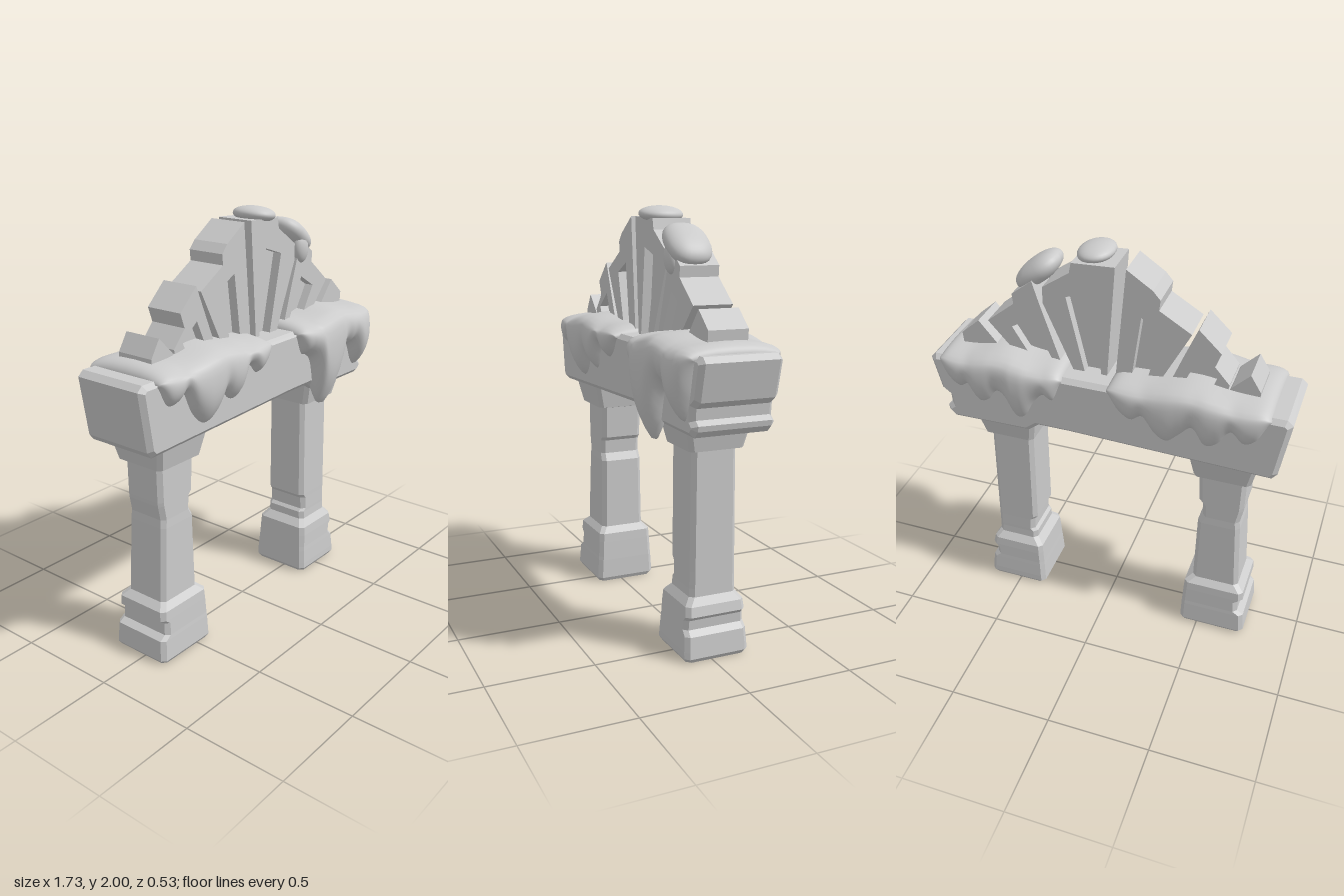
import * as THREE from 'three';

const flat = new THREE.MeshStandardMaterial({ color: 0xcccccc, flatShading: true, side: THREE.DoubleSide });
const smooth = new THREE.MeshStandardMaterial({ color: 0xcccccc, side: THREE.DoubleSide });

function mesh(name, geometry, material = flat) {
  const m = new THREE.Mesh(geometry, material);
  m.name = name;
  return m;
}

// Skin a list of closed rings (arrays of [x, y, z])
function skin(rings) {
  const n = rings[0].length, index = [];
  for (let i = 0; i < rings.length - 1; i++)
    for (let j = 0; j < n; j++) {
      const k = (j + 1) % n, a = i * n + j, b = i * n + k;
      index.push(a, b, b + n, a, b + n, a + n);
    }
  const g = new THREE.BufferGeometry();
  g.setAttribute('position', new THREE.Float32BufferAttribute(rings.flat(2), 3));
  g.setIndex(index);
  g.computeVertexNormals();
  return g;
}

// Pillar from levels [y, xMin, xMax, halfDepth], square with chamfered corners
function pillar(levels) {
  const zc = -0.025, c = 0.02;
  return skin(levels.map(([y, l, r, h]) => {
    const f = zc + h, b = zc - h;
    return [[l + c, f], [r - c, f], [r, f - c], [r, b + c], [r - c, b], [l + c, b], [l, b + c], [l, f - c]]
      .map(([x, z]) => [x, y, z]);
  }));
}

// Upright slab from a front outline, centred in depth on z = -0.02
function slab(points, depth, bevel = 0, hole = null) {
  const toV = p => p.map(([x, y]) => new THREE.Vector2(x, y));
  const shape = new THREE.Shape(toV(points));
  if (hole) shape.holes.push(new THREE.Path(toV(hole)));
  const g = new THREE.ExtrudeGeometry(shape, {
    depth: depth - 2 * bevel, bevelEnabled: bevel > 0, bevelSize: bevel,
    bevelThickness: bevel, bevelOffset: -bevel, bevelSegments: 1,
  });
  return g.translate(0, 0, -0.02 - (depth - 2 * bevel) / 2);
}

// Snow draped over the beam: lower edges given as evenly spaced heights
function drape(x0, x1, frontEdge, backEdge, frontBulge, backBulge) {
  const edge = ys => new THREE.SplineCurve(ys.map((y, i) => new THREE.Vector2(i / (ys.length - 1), y)));
  const front = edge(frontEdge), back = edge(backEdge);
  const rings = [], steps = 90;
  for (let i = 0; i <= steps; i++) {
    const t = Math.sin((i / steps - 0.5) * Math.PI), u = (t + 1) / 2;
    const e = Math.sqrt(Math.max(0, 1 - t ** 6));
    const top = 1.385 + e * (0.068 + 0.012 * Math.cos(t * 5));
    const side = (curve, face, bulge, s) => {
      const yb = curve.getPoint(u).y, h = top - yb;
      const w = e * bulge * Math.min(1, 0.65 + 1.4 * (1.4 - yb));
      return [[face - 0.05, Math.max(yb, 1.13)], [face - 0.005, yb], [face + w * 0.75, yb + h * 0.25],
        [face + w, yb + h * 0.58], [face + w * 0.65, top - 0.035 * e], [face - 0.07, top]]
        .map(([z, y]) => new THREE.Vector3(x0 + (x1 - x0) * u, y, s * z));
    };
    const path = new THREE.CatmullRomCurve3([
      ...side(back, 0.21, backBulge, -1), ...side(front, 0.18, frontBulge, 1).reverse()]);
    rings.push(path.getPoints(36).map(p => p.toArray()));
  }
  return skin(rings);
}

// Squarish rounded lump of snow
function lump(name, pos, size, tilt, power = 0.8) {
  const g = new THREE.SphereGeometry(1, 28, 18), p = g.attributes.position;
  const sq = v => Math.sign(v) * Math.abs(v) ** power;
  for (let i = 0; i < p.count; i++) p.setXYZ(i, sq(p.getX(i)), p.getY(i), sq(p.getZ(i)));
  g.scale(...size);
  g.computeVertexNormals();
  const m = mesh(name, g, smooth);
  m.position.set(...pos);
  m.rotation.z = tilt;
  return m;
}

export function createModel() {
  const model = new THREE.Group();
  model.name = 'snowyStoneGate';

  // Pillars with chipped plinths, hollow underneath
  model.add(mesh('rightPillar', pillar([
    [0, -0.73, -0.42, 0.145], [0.02, -0.745, -0.41, 0.158], [0.12, -0.737, -0.412, 0.152],
    [0.14, -0.705, -0.413, 0.15], [0.20, -0.702, -0.416, 0.147], [0.22, -0.727, -0.417, 0.146],
    [0.265, -0.724, -0.42, 0.143], [0.295, -0.69, -0.455, 0.115], [0.66, -0.67, -0.46, 0.11],
    [0.70, -0.665, -0.482, 0.108], [0.77, -0.678, -0.478, 0.108], [0.79, -0.68, -0.46, 0.108],
    [0.955, -0.682, -0.45, 0.108], [0.96, -0.705, -0.43, 0.133], [1.10, -0.735, -0.405, 0.165]])));
  model.add(mesh('leftPillar', pillar([
    [0, 0.37, 0.655, 0.145], [0.02, 0.355, 0.668, 0.158], [0.05, 0.357, 0.665, 0.157],
    [0.12, 0.361, 0.658, 0.152], [0.145, 0.363, 0.632, 0.15], [0.19, 0.366, 0.635, 0.148],
    [0.21, 0.367, 0.655, 0.147], [0.255, 0.37, 0.645, 0.143], [0.29, 0.405, 0.62, 0.115],
    [0.33, 0.405, 0.62, 0.113], [0.345, 0.42, 0.62, 0.113], [0.41, 0.418, 0.62, 0.112],
    [0.43, 0.402, 0.62, 0.112], [0.955, 0.398, 0.618, 0.108], [0.96, 0.385, 0.645, 0.133],
    [1.10, 0.36, 0.675, 0.165]])));

  // Beam with a broken end
  model.add(mesh('beam', slab([
    [-0.84, 1.40], [-0.868, 1.375], [-0.825, 1.10], [-0.80, 1.07], [0.17, 1.10], [0.33, 1.10], [0.38, 1.06],
    [0.77, 1.055], [0.80, 1.085], [0.805, 1.11], [0.78, 1.13], [0.785, 1.18], [0.825, 1.21],
    [0.865, 1.375], [0.84, 1.40]], 0.39, 0.022)));

  // Fan of broken stones, each with an optional sunk panel on both faces
  const fan = new THREE.Group();
  fan.name = 'fan';
  const stones = [
    [[[-0.70, 1.38], [-0.70, 1.46], [-0.65, 1.54], [-0.57, 1.46], [-0.52, 1.38]]],
    [[[-0.54, 1.37], [-0.56, 1.47], [-0.49, 1.55], [-0.515, 1.62], [-0.41, 1.72], [-0.265, 1.37]],
      [[-0.46, 1.39], [-0.505, 1.49], [-0.41, 1.565], [-0.33, 1.39]]],
    [[[-0.215, 1.37], [-0.38, 1.69], [-0.23, 1.78], [-0.235, 1.83], [-0.20, 1.87], [-0.08, 1.95], [-0.03, 1.37]],
      [[-0.175, 1.39], [-0.25, 1.68], [-0.15, 1.73], [-0.105, 1.39]]],
    [[[0.01, 1.37], [-0.03, 1.95], [0.17, 1.94], [0.18, 1.89], [0.31, 1.80], [0.31, 1.72], [0.16, 1.37]],
      [[0.035, 1.39], [0.08, 1.81], [0.20, 1.77], [0.115, 1.39]]],
    [[[0.215, 1.37], [0.33, 1.72], [0.36, 1.82], [0.46, 1.74], [0.455, 1.69], [0.59, 1.58], [0.40, 1.37]],
      [[0.255, 1.39], [0.37, 1.63], [0.47, 1.57], [0.36, 1.39]]],
    [[[0.48, 1.38], [0.54, 1.45], [0.64, 1.57], [0.73, 1.49], [0.72, 1.38]]],
  ];
  for (const [outline, panel] of stones) {
    fan.add(mesh('fanStone', slab(outline, 0.19, 0, panel)));
    if (panel) fan.add(mesh('fanPanel', slab(panel, 0.1)));
  }
  model.add(fan);

  // Snow hanging over the beam
  model.add(mesh('rightSnow', drape(-0.775, -0.02,
    [1.38, 1.29, 1.28, 1.32, 1.22, 1.16, 1.14, 1.17, 1.25, 1.21, 1.21, 1.32, 1.33, 1.28, 1.31, 1.38],
    [1.38, 1.27, 1.24, 1.29, 1.21, 1.19, 1.27, 1.22, 1.17, 1.2, 1.28, 1.25, 1.29, 1.38], 0.065, 0.057), smooth));
  model.add(mesh('leftSnow', drape(0.195, 0.81,
    [1.38, 1.29, 1.27, 1.22, 1.04, 0.985, 0.985, 1.05, 1.2, 1.25, 1.24, 1.24, 1.15, 1.12, 1.22, 1.38],
    [1.38, 1.27, 1.29, 1.24, 1.15, 1.14, 1.23, 1.26, 1.2, 1.19, 1.27, 1.25, 1.29, 1.38], 0.085, 0.06), smooth));

  // Snow caps on the fan
  model.add(lump('topSnow', [0.09, 1.96, -0.002], [0.085, 0.038, 0.106], -0.12, 0.95));
  model.add(lump('slopeSnow', [0.365, 1.83, -0.004], [0.125, 0.055, 0.106], -0.68));
  model.add(lump('slopeSnowDrip', [0.365, 1.77, 0.07], [0.046, 0.072, 0.034], 0.1, 1));
  return model;
}
